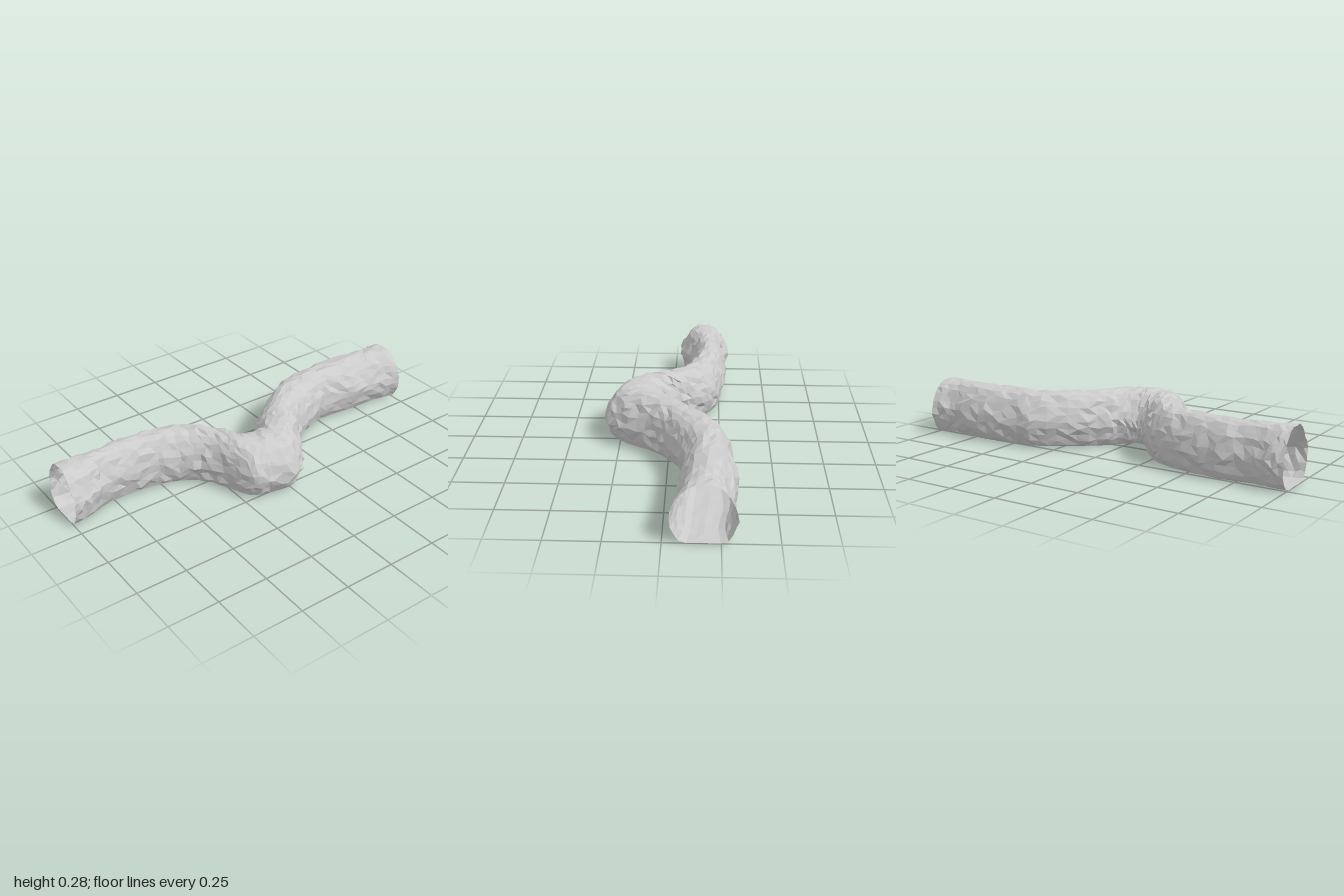
import * as THREE from 'three';

// Matching wall points along the tunnel: [right wall x, z, left wall x, z]
const WALLS = [
  [-0.32, -1, -0.03, -1], [-0.3, -0.88, -0.06, -0.86], [-0.33, -0.68, -0.06, -0.7],
  [-0.31, -0.5, -0.08, -0.53], [-0.3, -0.36, -0.05, -0.42], [-0.21, -0.21, 0.01, -0.29],
  [-0.1, -0.07, 0.1, -0.19], [-0.02, 0.01, 0.24, -0.1], [0.005, 0.06, 0.325, -0.01],
  [0, 0.11, 0.31, 0.12], [-0.04, 0.15, 0.28, 0.21], [-0.11, 0.19, 0.18, 0.26],
  [-0.2, 0.27, 0.05, 0.32], [-0.25, 0.37, -0.03, 0.4], [-0.275, 0.53, -0.08, 0.52],
  [-0.29, 0.68, -0.1, 0.66], [-0.27, 0.84, -0.095, 0.8], [-0.3, 0.93, -0.05, 0.9],
  [-0.3, 1, -0.03, 1],
];

// Half cross-section: [fraction of half width, height], from the crown to the flat floor
const HALF = [
  [0, 0.275], [0.33, 0.27], [0.6, 0.245], [0.85, 0.19], [1, 0.13],
  [0.94, 0.075], [0.8, 0.025], [0.62, 0.005], [0, 0.003],
];

function seeded(seed) {
  return () => {
    seed = (seed * 1664525 + 1013904223) % 4294967296;
    return seed / 4294967296 - 0.5;
  };
}

function tunnelGeometry(rings, sides) {
  const wall = (k) => new THREE.CatmullRomCurve3(
    WALLS.map((w) => new THREE.Vector3(w[k], 0, w[k + 1])), false, 'centripetal');
  const rightWall = wall(0), leftWall = wall(2);

  // Closed section, counter-clockwise seen from the front
  const loop = [
    ...HALF.slice(1).reverse(),
    ...HALF.slice(0, -1).map(([u, y]) => [-u, y]),
  ];
  const section = new THREE.CatmullRomCurve3(
    loop.map(([u, y]) => new THREE.Vector3(u, y * 7, 0)), true, 'centripetal').getSpacedPoints(sides);

  const random = seeded(7);
  const positions = [];
  for (let i = 0; i <= rings; i++) {
    const a = rightWall.getPoint(i / rings), b = leftWall.getPoint(i / rings);
    const end = i === 0 || i === rings;
    for (let j = 0; j < sides; j++) {
      const u = section[j].x, y = section[j].y / 7;
      const p = a.clone().lerp(b, (u + 1) / 2);
      // Rough rock on the walls and roof, smooth along the floor
      const rough = y < 0.03 ? 0.003 : 0.016;
      const bump = random() * rough, slide = random() * rough * 1.3, lift = random() * rough;
      positions.push(
        p.x + u * bump,
        THREE.MathUtils.clamp(y + lift * (y > 0.24 ? 0.7 : 1), 0, 0.283),
        end ? p.z : THREE.MathUtils.clamp(p.z + slide, -1, 1));
    }
  }

  // Skin between rings, with the diagonals varied
  const index = [];
  for (let i = 0; i < rings; i++) {
    for (let j = 0; j < sides; j++) {
      const k = (j + 1) % sides;
      const a = i * sides + j, b = i * sides + k, c = a + sides, d = b + sides;
      if (random() > 0) index.push(a, b, c, b, d, c);
      else index.push(a, b, d, a, d, c);
    }
  }
  const geometry = new THREE.BufferGeometry();
  geometry.setAttribute('position', new THREE.Float32BufferAttribute(positions, 3));
  geometry.setIndex(index);
  const faceted = geometry.toNonIndexed();
  faceted.computeVertexNormals();
  return faceted;
}

export function createModel() {
  const group = new THREE.Group();
  group.name = 'caveTunnel';
  // Open-ended winding rock tube
  const tunnel = new THREE.Mesh(
    tunnelGeometry(64, 26),
    new THREE.MeshStandardMaterial({ color: 0xcccccc, flatShading: true, side: THREE.DoubleSide }));
  tunnel.name = 'tunnelWall';
  group.add(tunnel);
  return group;
}
